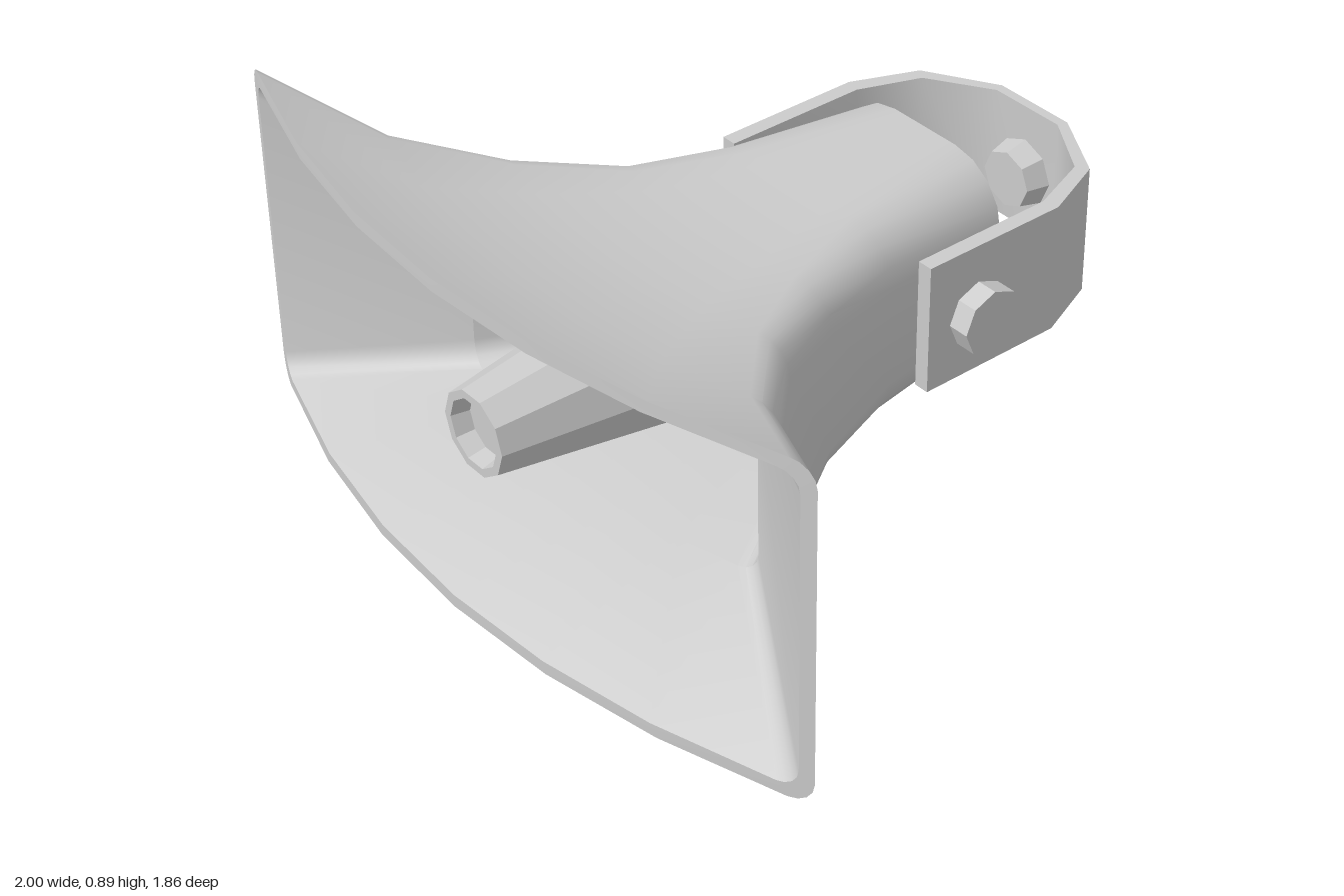
import * as THREE from 'three';
import { toCreasedNormals } from 'three/addons/utils/BufferGeometryUtils.js';

const CY = 0.443; // height of the horn axis

// Rounded rectangle ring, its top and bottom edges bowed forward in the middle
function ring([z, hw, hh, r, bow]) {
  const pts = [];
  const add = (x, y) => pts.push([x, CY + y, z + bow * (1 - (x / hw) ** 2)]);
  const signs = [[1, 1], [-1, 1], [-1, -1], [1, -1]];
  signs.forEach(([sx, sy], q) => {
    for (let k = 0; k <= 4; k++) {
      const a = (q + k / 4) * Math.PI / 2;
      add(sx * (hw - r) + r * Math.cos(a), sy * (hh - r) + r * Math.sin(a));
    }
    if (q % 2 === 0) {
      for (let i = 1; i < 6; i++) add(sx * (hw - r) * (1 - i / 3), sy * hh);
    }
  });
  return pts;
}

// Skin a list of sections
function loft(sections) {
  const rings = sections.map(ring);
  const n = rings[0].length;
  const index = [];
  for (let i = 0; i < rings.length - 1; i++) {
    for (let j = 0; j < n; j++) {
      const k = (j + 1) % n;
      const a = i * n + j, b = i * n + k, c = b + n, d = a + n;
      index.push(a, b, c, a, c, d);
    }
  }
  const geo = new THREE.BufferGeometry();
  geo.setAttribute('position', new THREE.Float32BufferAttribute(rings.flat(2), 3));
  geo.setIndex(index);
  return toCreasedNormals(geo, 0.48);
}

export function createModel() {
  const model = new THREE.Group();
  model.name = 'hornSpeaker';
  const smooth = new THREE.MeshStandardMaterial({ color: 0xcccccc });
  const flat = new THREE.MeshStandardMaterial({ color: 0xcccccc, flatShading: true });
  const add = (name, geo, mat) => {
    const mesh = new THREE.Mesh(geo, mat);
    mesh.name = name;
    model.add(mesh);
    return mesh;
  };

  // Flared horn: back cap, outer skin, rim, inner skin, throat wall
  // [z at the sides, half width, half height, corner radius, bow]
  add('horn', loft([
    [-0.465, 0.001, 0.001, 0.0005, 0],
    [-0.465, 0.265, 0.262, 0.16, 0],
    [-0.09, 0.31, 0.262, 0.13, 0.02],
    [0.15, 0.38, 0.262, 0.1, 0.05],
    [0.38, 0.51, 0.3, 0.08, 0.07],
    [0.57, 0.71, 0.345, 0.07, 0.13],
    [0.725, 1, 0.443, 0.06, 0.2],
    [0.739, 0.965, 0.41, 0.05, 0.186],
    [0.48, 0.525, 0.253, 0.05, 0.09],
    [-0.03, 0.215, 0.217, 0.09, 0],
    [-0.03, 0.001, 0.001, 0.0005, 0],
  ]), smooth);

  // Ten-sided tapered plug with a recessed tip
  const profile = [[0, -0.02], [0.228, -0.02], [0.106, 0.845], [0.085, 0.845], [0.075, 0.8], [0, 0.8]];
  const plug = new THREE.LatheGeometry(profile.map(([x, y]) => new THREE.Vector2(x, y)), 10);
  plug.rotateY(Math.PI / 2).rotateX(Math.PI / 2).translate(0, CY, 0);
  add('plug', plug, flat);

  // Mounting strap wrapped around the back
  const outer = [[0.365, -0.155], [0.365, -0.55], [0.295, -0.72], [0.113, -0.825]];
  const inner = [[0.325, -0.155], [0.325, -0.54], [0.265, -0.7], [0.105, -0.8]];
  const mirrored = (pts) => [...pts, ...pts.map(([x, z]) => [-x, z]).reverse()];
  const outline = [...mirrored(outer), ...mirrored(inner).reverse()];
  const shape = new THREE.Shape(outline.map(([x, z]) => new THREE.Vector2(x, z)));
  const strap = new THREE.ExtrudeGeometry(shape, { depth: 0.34, bevelEnabled: false });
  strap.rotateX(Math.PI / 2).translate(0, 0.627, 0);
  add('mountingStrap', toCreasedNormals(strap, 0.8), smooth);

  // Side pivot bolts with inner spacers
  for (const [side, s] of [['left', 1], ['right', -1]]) {
    const parts = [['PivotBolt', 0.085, 0.36, 0.42], ['PivotSpacer', 0.068, 0.24, 0.345]];
    for (const [name, r, from, to] of parts) {
      const geo = new THREE.CylinderGeometry(r, r, to - from, 8);
      geo.rotateZ(Math.PI / 2).translate(s * (from + to) / 2, CY, -0.305);
      add(side + name, geo, flat);
    }
  }

  // Rear bolt and its nut inside the strap
  const bolt = new THREE.CylinderGeometry(0.062, 0.062, 0.125, 8);
  add('rearBolt', bolt.rotateX(Math.PI / 2).translate(0, 0.447, -0.8725), flat);
  const nut = new THREE.CylinderGeometry(0.075, 0.09, 0.065, 8);
  add('rearNut', nut.rotateX(Math.PI / 2).translate(0, 0.447, -0.7725), flat);

  return model;
}
